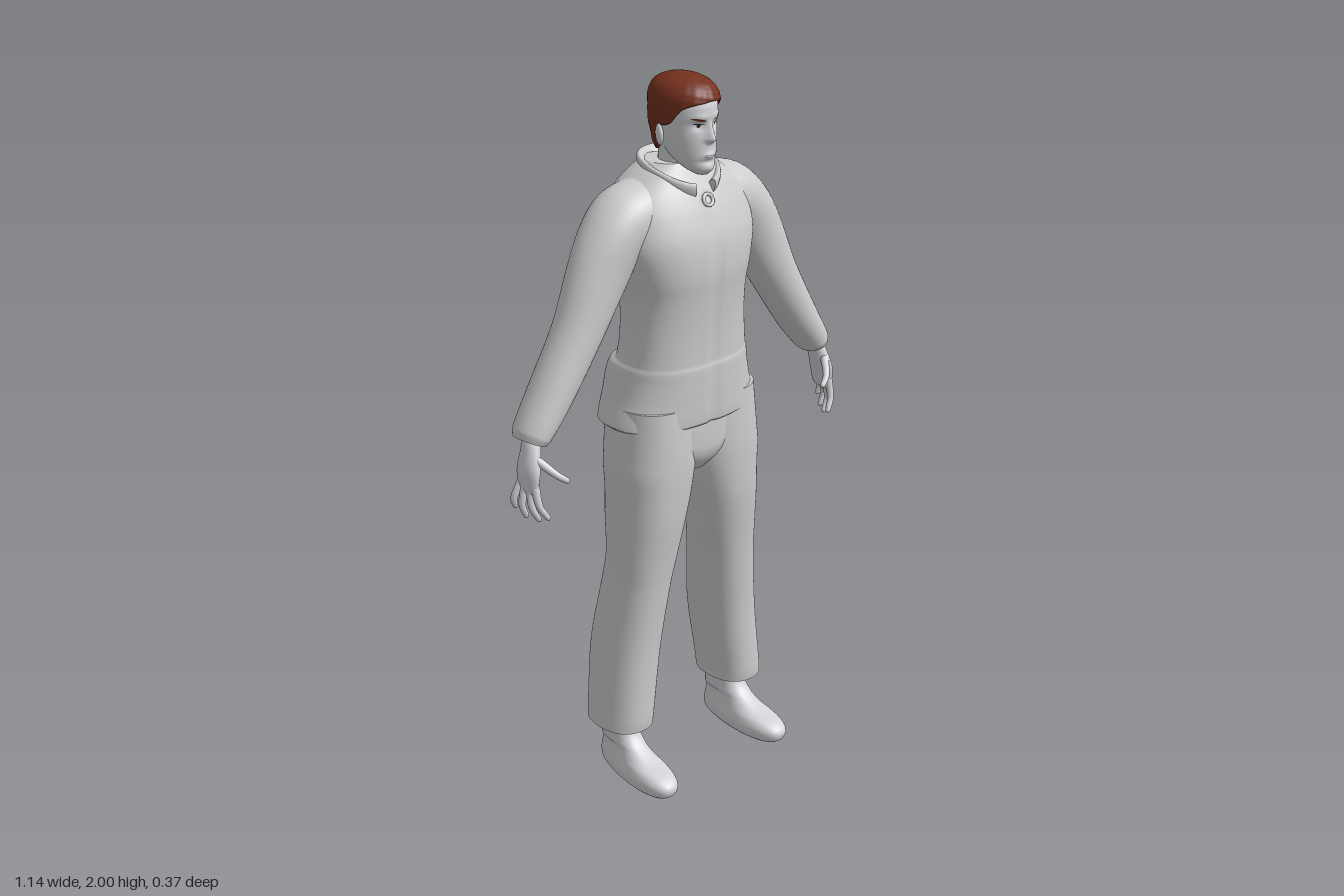
import * as THREE from 'three';

const mat = (name, color) => Object.assign(new THREE.MeshStandardMaterial({ color }), { name });
const TAU = Math.PI * 2;
const gauss = (d, w) => Math.exp(-(d * d) / (w * w));

// Smoothly interpolates table rows keyed by their first column (height).
function sample(rows, k) {
  let i = 0;
  while (i < rows.length - 2 && k > rows[i + 1][0]) i++;
  const r0 = rows[i], r1 = rows[i + 1];
  const a = rows[Math.max(0, i - 1)], b = rows[Math.min(rows.length - 1, i + 2)];
  const h = r1[0] - r0[0], t = Math.min(1, Math.max(0, (k - r0[0]) / h));
  const t2 = t * t, t3 = t2 * t;
  return r0.map((v, c) => c === 0 ? k :
    v * (2 * t3 - 3 * t2 + 1) + r1[c] * (3 * t2 - 2 * t3)
    + (r1[c] - a[c]) / (r1[0] - a[0]) * h * (t3 - 2 * t2 + t)
    + (b[c] - v) / (b[0] - r0[0]) * h * (t3 - t2));
}

// Surface of closed rings: at(i, angle) gives a point; ends are closed by fans.
function skin(levels, seg, at, capStart = true, capEnd = true) {
  const pos = [], idx = [];
  for (let i = 0; i < levels; i++)
    for (let j = 0; j < seg; j++) pos.push(...at(i, j / seg * TAU));
  for (let i = 0; i < levels - 1; i++)
    for (let j = 0; j < seg; j++) {
      const a = i * seg + j, b = i * seg + (j + 1) % seg;
      idx.push(a, b, b + seg, a, b + seg, a + seg);
    }
  const cap = (row, flip) => {
    const base = pos.length / 3, mid = [0, 0, 0];
    for (let j = 0; j < seg; j++)
      for (let c = 0; c < 3; c++) {
        const v = pos[(row * seg + j) * 3 + c];
        pos.push(v);
        mid[c] += v / seg;
      }
    pos.push(...mid);
    for (let j = 0; j < seg; j++) {
      const a = base + j, b = base + (j + 1) % seg;
      idx.push(...(flip ? [b, a, base + seg] : [a, b, base + seg]));
    }
  };
  if (capStart) cap(0, true);
  if (capEnd) cap(levels - 1, false);
  const g = new THREE.BufferGeometry();
  g.setAttribute('position', new THREE.Float32BufferAttribute(pos, 3));
  g.setIndex(idx);
  g.computeVertexNormals();
  return g;
}

const heightAt = (rows, i, n) => {
  const k = Math.min(rows.length - 2, Math.floor(i / n));
  return THREE.MathUtils.lerp(rows[k][0], rows[k + 1][0], i / n - k);
};
const pw = (v, p) => Math.sign(v) * Math.abs(v) ** (2 / p);

// Upright body: rows [y, centreX, halfWidth, frontZ, backZ].
function body(rows, p = 2.2, warp = q => q, seg = 64, n = 5) {
  return skin((rows.length - 1) * n + 1, seg, (i, a) => {
    const [y, cx, rx, zf, zb] = sample(rows, heightAt(rows, i, n));
    return warp([cx + rx * pw(Math.sin(a), p), y, (zf + zb) / 2 + (zf - zb) / 2 * pw(Math.cos(a), p)]);
  });
}

// Limb along a bent path, bottom to top: rows [y, x, z, radiusAcross, radiusDeep].
function limb(rows, seg = 32, n = 5) {
  const point = y => { const r = sample(rows, y); return new THREE.Vector3(r[1], y, r[2]); };
  const lo = rows[0][0], hi = rows[rows.length - 1][0], e = (hi - lo) * 0.02;
  return skin((rows.length - 1) * n + 1, seg, (i, a) => {
    const y = heightAt(rows, i, n), r = sample(rows, y);
    const T = point(Math.min(hi, y + e)).sub(point(Math.max(lo, y - e))).normalize();
    const C = new THREE.Vector3(0, 0, 1).addScaledVector(T, -T.z).normalize();
    const U = T.clone().cross(C);
    return point(y).addScaledVector(U, r[3] * Math.sin(a)).addScaledVector(C, r[4] * Math.cos(a)).toArray();
  });
}

function mirrored(geo) {
  const g = geo.clone().scale(-1, 1, 1), ix = g.index.array;
  for (let i = 0; i < ix.length; i += 3) [ix[i], ix[i + 1]] = [ix[i + 1], ix[i]];
  g.computeVertexNormals();
  return g;
}

const HEAD = [
  [1.750, 0, .016, .080, .045], [1.762, 0, .034, .090, .02], [1.785, 0, .051, .093, -.03],
  [1.81, 0, .060, .094, -.06], [1.84, 0, .067, .094, -.085], [1.87, 0, .071, .092, -.095],
  [1.90, 0, .073, .094, -.10], [1.93, 0, .074, .092, -.10], [1.96, 0, .066, .075, -.09], [1.985, 0, .035, .03, -.05]];

// Nose, brow, eye sockets, lips and chin as depth added to the face.
function relief(x, y) {
  const nose = y > 1.845 ? Math.max(0, 1 - (y - 1.845) / .05) : Math.max(0, 1 - (1.845 - y) / .014);
  const ax = Math.abs(x);
  return .022 * nose * gauss(x, .008 + .005 * nose)
    - .008 * gauss(ax - .029, .016) * gauss(y - 1.88, .012)
    + .004 * gauss(ax - .025, .025) * gauss(y - 1.902, .009)
    + .006 * gauss(x, .02) * gauss(y - 1.803, .009)
    - .003 * gauss(x, .03) * gauss(y - 1.787, .006)
    + .004 * gauss(x, .02) * gauss(y - 1.768, .01);
}
function faceZ(x, y) {
  const [, , rx, zf, zb] = sample(HEAD, y);
  return (zf + zb) / 2 + (zf - zb) / 2 * Math.sqrt(Math.max(0, 1 - (x / rx) ** 2)) + relief(x, y);
}
// Thin oval laid on the face.
function facePatch(x, y, w, h, tilt, lift) {
  const g = new THREE.CircleGeometry(1, 20).scale(w, h, 1).rotateZ(tilt).translate(x, y, 0);
  const p = g.attributes.position;
  for (let i = 0; i < p.count; i++) p.setZ(i, faceZ(p.getX(i), p.getY(i)) + lift);
  g.computeVertexNormals();
  return g;
}

export function createModel() {
  const model = new THREE.Group();
  const cloth = mat('cloth', 0xcccccc), skinTone = mat('skin', 0xd0d2d5);
  const hairRed = mat('auburnHair', 0x74301d), dark = mat('darkEyes', 0x2a2426);
  const white = mat('eyeWhite', 0xe6e6e6), lip = mat('lips', 0xb0aeb0);
  const add = (name, geo, m) => {
    const mesh = new THREE.Mesh(geo, m);
    mesh.name = name;
    model.add(mesh);
    return mesh;
  };
  const pair = (name, geo, m) => {
    add('left' + name, geo, m);
    add('right' + name, mirrored(geo), m);
  };

  // Jacket with flared skirt, front closure line and spine groove
  add('jacketBody', body([
    [1.072, 0, .228, .106, -.180], [1.08, 0, .235, .112, -.185], [1.15, 0, .213, .115, -.186], [1.205, 0, .20, .116, -.183],
    [1.235, 0, .194, .116, -.168], [1.25, 0, .187, .113, -.145], [1.35, 0, .177, .115, -.136], [1.43, 0, .178, .121, -.145],
    [1.50, 0, .194, .127, -.157], [1.58, 0, .212, .12, -.17], [1.65, 0, .205, .097, -.175], [1.70, 0, .18, .073, -.16],
    [1.74, 0, .135, .05, -.14], [1.775, 0, .085, .03, -.115]], 2.45, ([x, y, z]) => {
    const back = THREE.MathUtils.smoothstep(y, 1.25, 1.45);
    if (z > 0) z -= .006 * gauss(x, .009) * (y < 1.7);
    else z += .018 * back * gauss(x, .035);
    return [x, y, z];
  }, 112), cloth);

  // Sleeves
  pair('Sleeve', limb([
    [1.128, .513, -.025, .040, .052], [1.145, .505, -.025, .046, .060], [1.23, .445, -.026, .057, .065],
    [1.38, .35, -.025, .068, .067], [1.52, .273, -.03, .085, .076], [1.60, .222, -.035, .086, .088],
    [1.64, .17, -.04, .09, .095], [1.67, .10, -.042, .076, .09]], 40), cloth);

  // Open stand-up collar, higher at the sides and back
  add('collar', skin(49, 20, (i, b) => {
    const phi = .3 + i / 48 * (TAU - .6), s = Math.sin(phi), c = Math.cos(phi);
    const y = 1.757 - .06 * ((1 + c) / 2) ** 2;
    const out = .013 * Math.sin(b), up = .034 * Math.cos(b);
    const r = out * .88 + up * .42;
    return [(.09 + r) * s, y + up * .88 - out * .42, -.025 + (.092 + r) * c];
  }), cloth);
  const pull = add('zipPull', new THREE.TorusGeometry(.015, .005, 10, 24), cloth);
  pull.position.set(0, 1.685, .088);
  pull.rotation.x = -.45;

  // Trousers
  pair('TrouserLeg', body([
    [.165, .21, .079, .057, -.145], [.2, .207, .078, .06, -.148], [.4, .183, .082, .06, -.155],
    [.6, .158, .083, .075, -.127], [.68, .148, .089, .084, -.116], [.8, .133, .100, .10, -.13],
    [.88, .123, .109, .105, -.134], [.95, .118, .117, .107, -.138], [1.0, .115, .115, .106, -.14],
    [1.13, .11, .108, .10, -.14]], 2.3), cloth);
  add('trouserSeat', body([
    [.92, 0, .05, .06, -.09], [.96, 0, .12, .09, -.12], [1.0, 0, .18, .1, -.132], [1.12, 0, .2, .098, -.135]]), cloth);

  // Feet, narrower at the heel and turned slightly out
  pair('Foot', body([
    [0, 0, .047, .168, -.112], [.010, 0, .055, .181, -.121], [.035, 0, .058, .184, -.125], [.055, 0, .053, .158, -.122],
    [.075, 0, .047, .09, -.118], [.11, 0, .042, .032, -.115], [.15, 0, .043, .008, -.115], [.22, 0, .043, .005, -.115]],
  2.5, ([x, y, z]) => {
    const w = y < .1 ? 1 - .25 * gauss(z + .1, .1) : 1;
    return [.207 + x * w + z * .04, y, z];
  }), skinTone);

  // Hands: palm, four fingers and thumb
  pair('Palm', limb([
    [.992, .537, -.005, .008, .026], [1.005, .538, -.005, .014, .035], [1.03, .537, -.005, .018, .040],
    [1.06, .533, -.006, .021, .041], [1.1, .522, -.011, .022, .033], [1.13, .512, -.016, .024, .027],
    [1.17, .49, -.02, .024, .027]], 28), skinTone);
  const digits = {
    IndexFinger: [[.512, .928, .047], [.534, .968, .036], [.536, 1.02, .022]],
    MiddleFinger: [[.522, .917, .020], [.543, .962, .015], [.538, 1.02, .006]],
    RingFinger: [[.540, .923, -.012], [.554, .965, -.011], [.540, 1.02, -.011]],
    LittleFinger: [[.556, .948, -.038], [.562, .98, -.034], [.540, 1.025, -.027]],
    Thumb: [[.462, 1.028, .070], [.492, 1.052, .056], [.522, 1.088, .018]],
  };
  for (const [name, [tip, mid, base]] of Object.entries(digits)) {
    const near = tip.map((v, i) => v + (mid[i] - v) * .15);
    const row = (q, r) => [q[1], q[0], q[2], r, r];
    pair(name, limb([row(tip, .0035), row(near, .0075), row(mid, .0095), row(base, .012)], 14, 4), skinTone);
  }

  // Head, neck and ears
  add('head', body(HEAD, 2, ([x, y, z]) => [x, y, z > .02 ? z + relief(x, y) : z], 112, 8), skinTone);
  add('neck', new THREE.CylinderGeometry(.054, .06, .14, 32).translate(0, 1.755, -.022), skinTone);
  pair('Ear', new THREE.SphereGeometry(1, 18, 14).scale(.009, .028, .018).rotateY(.35).rotateX(-.1)
    .translate(.077, 1.85 , -.012).translate(0, 0, 0), skinTone);

  // Eyes, brows and mouth
  pair('EyeWhite', facePatch(.029, 1.88, .0125, .0045, .08, .0015), white);
  pair('Iris', facePatch(.028, 1.8805, .0045, .0045, 0, .0028), dark);
  pair('UpperLid', facePatch(.029, 1.885, .014, .0016, .1, .003), dark);
  pair('Brow', facePatch(.031, 1.897, .018, .003, .22, .002), hairRed);
  add('mouth', facePatch(0, 1.803, .02, .0032, 0, .0012), lip);

  // Short tousled hair with a shaped hairline
  const HAIR = [
    [1.79, .052, .07, -.092], [1.81, .063, .085, -.1], [1.85, .073, .093, -.108], [1.88, .078, .098, -.112],
    [1.92, .081, .101, -.112], [1.95, .079, .098, -.109], [1.975, .066, .08, -.095], [1.99, .044, .05, -.068],
    [1.997, .022, .02, -.04], [2.0, .002, -.008, -.012]];
  const LINE = [[-1, 1.797], [-.5, 1.80], [-.3, 1.82], [-.12, 1.872], [.05, 1.876], [.3, 1.885], [.6, 1.922], [1, 1.942]];
  const levels = 26;
  add('hair', skin(levels, 96, (i, a) => {
    const low = sample(LINE, Math.cos(a))[1];
    const t = Math.max(0, i - 1) / (levels - 2);
    const y = low + (2 - low) * (1 - (1 - t) ** 1.6);
    const [, rx, zf, zb] = sample(HAIR, y);
    const tuft = 1 + .018 * Math.sin(a * 13 + y * 160) * Math.sin(a * 7 - y * 230) * (1 - t);
    const k = i === 0 ? .86 : tuft;
    return [rx * k * Math.sin(a), y, (zf + zb) / 2 + (zf - zb) / 2 * k * Math.cos(a)];
  }, false, true), hairRed);

  return model;
}
